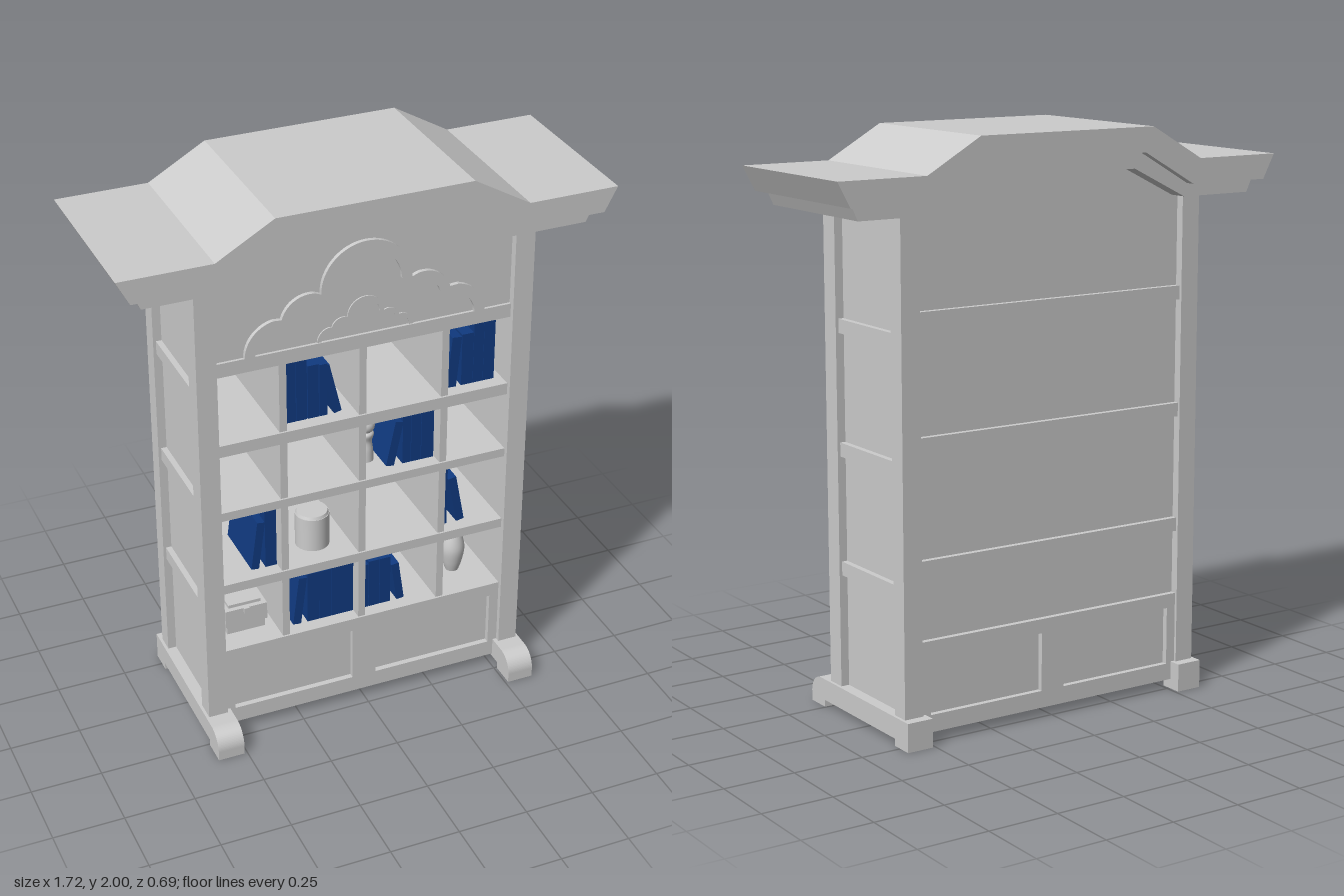
import * as THREE from 'three';

const grey = new THREE.MeshStandardMaterial({ color: 0xcccccc });
const blue = new THREE.MeshStandardMaterial({ color: 0x103a80 });

export function createModel() {
  const model = new THREE.Group();

  function add(name, geo, mat = grey, parent = model) {
    const m = new THREE.Mesh(geo, mat);
    m.name = name;
    parent.add(m);
    return m;
  }
  // box given by its limits on each axis
  function box(name, x0, x1, y0, y1, z0, z1) {
    const m = add(name, new THREE.BoxGeometry(x1 - x0, y1 - y0, z1 - z0));
    m.position.set((x0 + x1) / 2, (y0 + y1) / 2, (z0 + z1) / 2);
    return m;
  }
  // symmetric outline from its right half, extruded from z0 to z1
  function mirrored(name, half, z0, z1) {
    const left = half.map(([x, y]) => [-x, y]).reverse();
    const shape = new THREE.Shape([...half, ...left].map(p => new THREE.Vector2(...p)));
    const geo = new THREE.ExtrudeGeometry(shape, { depth: z1 - z0, bevelEnabled: false });
    return add(name, geo.translate(0, 0, z0));
  }

  // roof and the moulding below it
  mirrored('roof', [[0.31, 1.915], [0.51, 1.8], [0.815, 1.8], [0.86, 1.885], [0.54, 1.885], [0.34, 2]], -0.34, 0.285);
  mirrored('roofMoulding', [[0.29, 1.86], [0.5, 1.755], [0.77, 1.755], [0.795, 1.81], [0.5, 1.81], [0.3, 1.92]], -0.305, 0.245);

  // boards that fill the arch under the roof
  mirrored('backPanel', [[0.53, 0.06], [0.53, 1.77], [0.49, 1.78], [0.29, 1.88]], -0.235, -0.205);
  mirrored('archBoard', [[0.53, 1.45], [0.53, 1.77], [0.49, 1.78], [0.29, 1.88]], 0.16, 0.2);

  // corner posts, side panels with rails, and runners with rounded front feet
  const foot = new THREE.Shape();
  foot.moveTo(0.345, 0);
  foot.lineTo(0.345, 0.035);
  foot.absarc(0.28, 0.035, 0.065, 0, Math.PI / 2, false);
  foot.lineTo(-0.3, 0.1);
  foot.lineTo(-0.3, 0);
  foot.lineTo(-0.215, 0);
  foot.lineTo(-0.215, 0.025);
  foot.lineTo(0.255, 0.025);
  foot.lineTo(0.255, 0);
  for (const s of [-1, 1]) {
    const side = (name, x0, x1, ...yz) => box(name, Math.min(s * x0, s * x1), Math.max(s * x0, s * x1), ...yz);
    side('frontPost', 0.525, 0.595, 0.08, 1.78, 0.155, 0.228);
    side('backPost', 0.525, 0.595, 0.08, 1.78, -0.265, -0.2);
    side('sidePanel', 0.525, 0.565, 0.08, 1.78, -0.21, 0.165);
    for (const y of [0.517, 0.93, 1.35]) side('sideRail', 0.55, 0.585, y - 0.024, y + 0.024, -0.21, 0.165);
    const runner = new THREE.ExtrudeGeometry(foot, { depth: 0.095, bevelEnabled: false, curveSegments: 10 });
    runner.rotateY(-Math.PI / 2).translate(s * 0.558 + 0.0475, 0, 0);
    add('runnerFoot', runner);
  }

  // cabinet base: floor, front and back frames round two sunken panels
  box('plinth', -0.525, 0.525, 0.035, 0.095, -0.255, 0.21);
  box('cabinetFront', -0.53, 0.53, 0.06, 0.34, 0.15, 0.19);
  box('cabinetTop', -0.53, 0.53, 0.3, 0.35, -0.22, 0.21);
  for (const [z0, z1] of [[0.16, 0.21], [-0.255, -0.21]]) {
    box('cabinetCentreStile', -0.045, 0.045, 0.09, 0.31, z0, z1);
    for (const s of [-1, 1]) {
      box('cabinetEndStile', s * 0.51 - 0.02, s * 0.51 + 0.02, 0.09, 0.31, z0, z1);
    }
  }
  box('backCabinetRail', -0.53, 0.53, 0.3, 0.35, -0.255, -0.21);
  for (const y of [0.6, 1.01, 1.42]) box('backRail', -0.53, 0.53, y - 0.024, y + 0.024, -0.255, -0.21);

  // shelves and dividers
  for (const [y0, y1] of [[0.59, 0.625], [0.885, 0.917], [1.135, 1.178], [1.435, 1.485]]) {
    box('shelf', -0.53, 0.53, y0, y1, -0.21, 0.21);
  }
  for (const x of [-0.292, -0.008, 0.292]) box('divider', x - 0.013, x + 0.013, 0.34, 1.45, -0.21, 0.203);

  // lobed arch band: five arcs outside, the same arcs inside with smaller radii
  function lobedArch(name, scale, depth) {
    const outline = inset => {
      const pts = [];
      const arc = (cx, cy, r, a0, a1, n) => {
        for (let i = 0; i <= n; i++) {
          const a = THREE.MathUtils.degToRad(a0 + (a1 - a0) * i / n);
          pts.push([cx + (r - inset) * Math.cos(a), cy + (r - inset) * Math.sin(a)]);
        }
      };
      arc(0.305, 0, 0.12, 0, 80, 12);
      arc(0.2, 0.09, 0.1, 15, 100, 12);
      arc(0, 0.18, 0.16, 0, 90, 16);
      return pts;
    };
    const outer = outline(0), inner = outline(0.037);
    const half = [...outer, ...inner.reverse()];
    const whole = [...outer, ...outer.slice(0, -1).reverse().map(([x, y]) => [-x, y]),
      ...half.slice(outer.length).reverse().map(([x, y]) => [-x, y]), ...half.slice(outer.length + 1)];
    const shape = new THREE.Shape(whole.map(([x, y]) => new THREE.Vector2(x * scale, y * scale)));
    add(name, new THREE.ExtrudeGeometry(shape, { depth, bevelEnabled: false })).position.set(0, 1.485, 0.195);
  }
  lobedArch('largeArchBand', 1, 0.02);
  lobedArch('smallArchBand', 0.4, 0.01);

  // books: [left, right, height, lean], lean being the sideways shift of the top
  const books = new THREE.Group();
  books.name = 'books';
  model.add(books);
  const rows = [
    [1.178, [[-0.277, -0.23, 0.228], [-0.228, -0.19, 0.228], [-0.187, -0.148, 0.2], [-0.145, -0.117, 0.195],
      [-0.093, -0.065, 0.19, -0.045], [0.32, 0.355, 0.19, 0.018], [0.374, 0.417, 0.195], [0.418, 0.455, 0.232], [0.456, 0.497, 0.232]]],
    [0.917, [[0.098, 0.128, 0.17, 0.035], [0.16, 0.19, 0.197], [0.192, 0.228, 0.193], [0.23, 0.276, 0.203]]],
    [0.625, [[-0.4, -0.372, 0.185, 0.025], [-0.348, -0.307, 0.225], [0.305, 0.334, 0.232], [0.372, 0.402, 0.185, -0.035]]],
    [0.35, [[-0.25, -0.22, 0.19, 0.024], [-0.195, -0.15, 0.2], [-0.149, -0.107, 0.2], [-0.105, -0.063, 0.215], [-0.062, -0.022, 0.23],
      [0.006, 0.036, 0.18], [0.038, 0.078, 0.19], [0.08, 0.12, 0.19], [0.146, 0.174, 0.155, -0.022]]],
  ];
  for (const [y, list] of rows) {
    for (const [x0, x1, h, lean = 0] of list) {
      const geo = new THREE.BoxGeometry(x1 - x0, h, 0.23);
      const book = add('book', geo, blue, books);
      book.position.set((x0 + x1 + lean) / 2, y + h / 2, 0.045);
      book.rotation.z = -Math.atan2(lean, h);
    }
  }

  // ornaments
  const lathe = (name, pts, x, y, z) => {
    const curve = new THREE.SplineCurve(pts.map(p => new THREE.Vector2(...p)));
    const m = add(name, new THREE.LatheGeometry(curve.getPoints(24), 28), new THREE.MeshStandardMaterial({ color: 0xcccccc, side: THREE.DoubleSide }));
    m.position.set(x, y, z);
  };
  lathe('vase', [[0.024, 0], [0.036, 0.04], [0.044, 0.095], [0.032, 0.15], [0.016, 0.185], [0.022, 0.205]], 0.41, 0.35, 0.06);
  lathe('figurineBody', [[0.03, 0], [0.028, 0.04], [0.024, 0.075], [0.03, 0.105], [0.012, 0.12]], 0.055, 0.917, 0.08);
  add('figurineHead', new THREE.SphereGeometry(0.034, 20, 14)).position.set(0.055, 1.055, 0.08);
  const jar = add('jar', new THREE.CylinderGeometry(0.06, 0.06, 0.125, 32));
  jar.position.set(-0.143, 0.6875, 0.08);
  add('jarLid', new THREE.CylinderGeometry(0.054, 0.058, 0.01, 32)).position.set(-0.143, 0.755, 0.08);
  box('chestBody', -0.48, -0.34, 0.35, 0.388, 0.02, 0.12);
  box('chestBand', -0.487, -0.333, 0.384, 0.392, 0.013, 0.127);
  box('chestLid', -0.487, -0.333, 0.392, 0.45, 0.013, 0.127);
  box('chestTop', -0.47, -0.35, 0.45, 0.462, 0.03, 0.11);
  box('chestClasp', -0.42, -0.4, 0.43, 0.45, 0.12, 0.133);

  return model;
}
